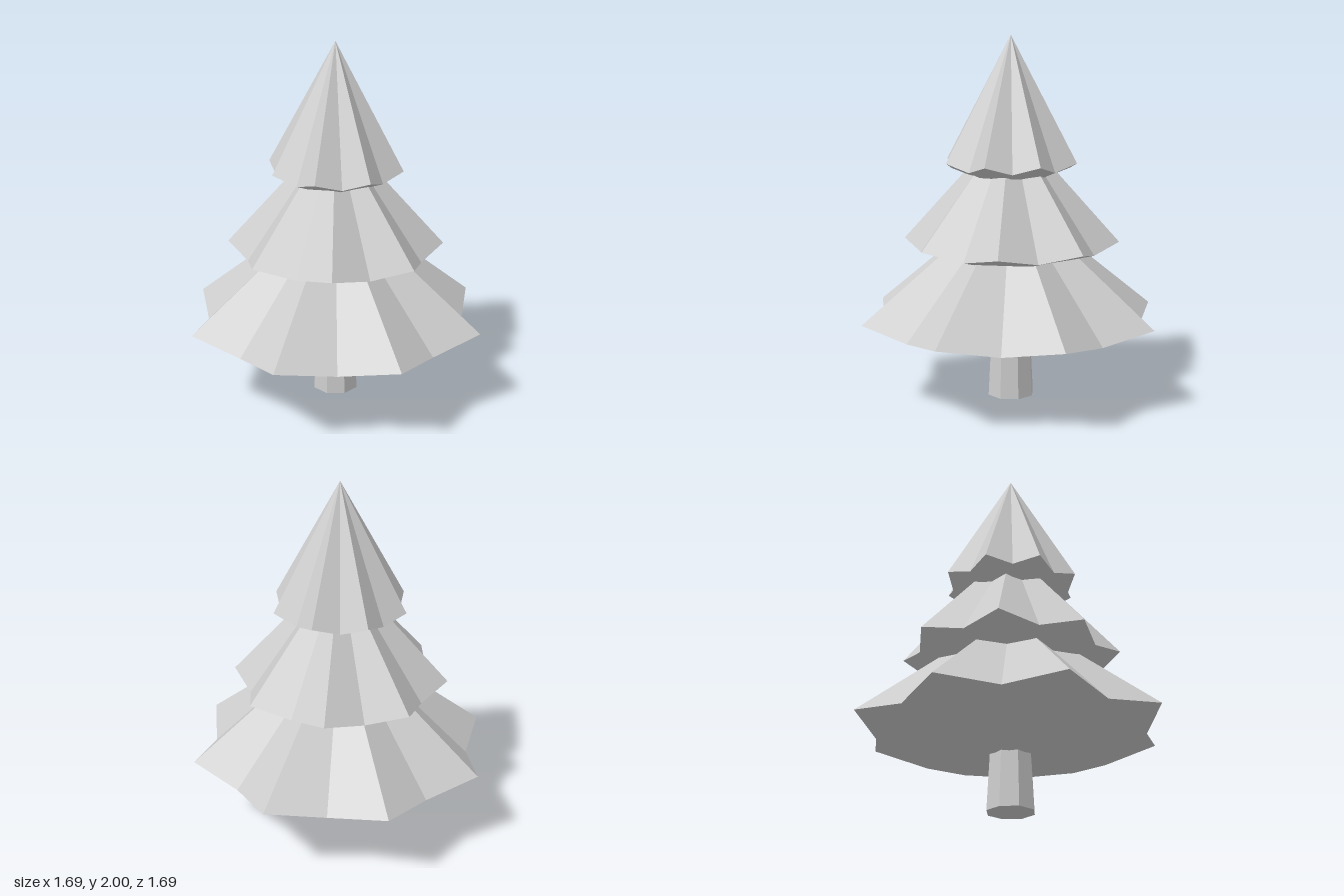
import * as THREE from 'three';

const POINTS = 8;

// Star-shaped cone: pointed rim with shallow notches, apex above, shallow underside below
function tierGeometry(radius, tipY, notchDrop, apexY, underY, turn) {
  const rim = [];
  for (let i = 0; i < POINTS * 2; i++) {
    const notch = i % 2 === 1;
    const a = turn + (i * Math.PI) / POINTS;
    const r = notch ? radius * 0.85 : radius;
    rim.push([r * Math.cos(a), notch ? tipY - notchDrop : tipY, -r * Math.sin(a)]);
  }
  const apex = [0, apexY, 0];
  const under = [0, underY, 0];
  const positions = [];
  rim.forEach((p, i) => {
    const q = rim[(i + 1) % rim.length];
    positions.push(...p, ...q, ...apex, ...q, ...p, ...under);
  });
  const geometry = new THREE.BufferGeometry();
  geometry.setAttribute('position', new THREE.Float32BufferAttribute(positions, 3));
  geometry.computeVertexNormals();
  return geometry;
}

export function createModel() {
  const tree = new THREE.Group();
  tree.name = 'pineTree';
  const grey = new THREE.MeshStandardMaterial({ color: 0xcccccc, flatShading: true });
  grey.name = 'light grey';

  const add = (name, geometry) => {
    const mesh = new THREE.Mesh(geometry, grey);
    mesh.name = name;
    tree.add(mesh);
    return mesh;
  };

  // Tapered octagonal trunk
  add('trunk', new THREE.CylinderGeometry(0.113, 0.132, 0.36, 8)).position.y = 0.18;

  // Three tiers of branches, each turned against the one below
  const deg = Math.PI / 180;
  add('lowerBranches', tierGeometry(0.846, 0.46, 0.045, 1.14, 0.28, 0));
  add('middleBranches', tierGeometry(0.597, 0.88, 0.042, 1.54, 0.7, 20.05 * deg));
  add('upperBranches', tierGeometry(0.38, 1.32, 0.04, 2, 1.15, 5.4 * deg));

  return tree;
}
